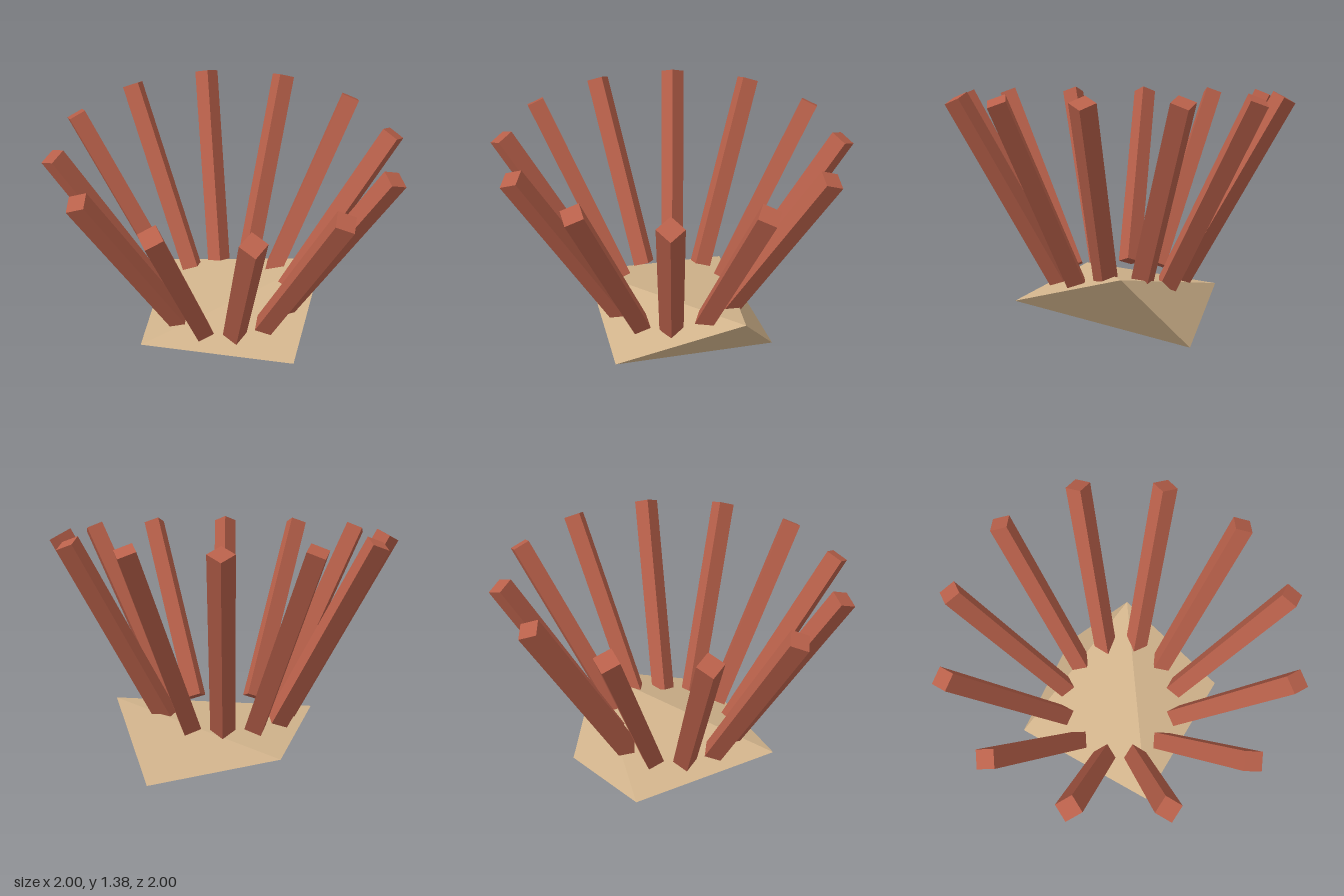
import * as THREE from 'three';

const BEAMS = 12;
const TILT = 0.5;

// Faceted slab: five corners on a circle at uneven heights
function createBase() {
  const r = 0.632;
  const front = [0, 0.185, r];
  const upper = [0.6, 0.41, 0.2];
  const lower = [0.6, 0, -0.2];
  const back = [0, 0.185, -r];
  const tip = [-r, 0.23, 0];
  const faces = [
    [front, upper, tip], [upper, back, tip], [upper, lower, back],
    [upper, front, lower], [back, lower, front], [tip, back, front],
  ];
  const geometry = new THREE.BufferGeometry();
  geometry.setAttribute('position', new THREE.Float32BufferAttribute(faces.flat(2), 3));
  geometry.computeVertexNormals();
  const base = new THREE.Mesh(geometry, new THREE.MeshStandardMaterial({ color: 0xd2b48c, flatShading: true }));
  base.name = 'base';
  return base;
}

// Ring of square beams leaning outwards, one corner edge facing out
function createBeams() {
  const ring = new THREE.Group();
  ring.name = 'beamRing';
  const geometry = new THREE.CylinderGeometry(0.07, 0.07, 1.2, 4);
  const material = new THREE.MeshStandardMaterial({ color: 0xb8604a, flatShading: true });
  for (let i = 0; i < BEAMS; i++) {
    const arm = new THREE.Group();
    arm.name = `beam${i + 1}`;
    const beam = new THREE.Mesh(geometry, material);
    beam.name = 'beam';
    beam.position.set(0.65, 0.818, 0);
    beam.rotation.z = -TILT;
    arm.add(beam);
    arm.rotation.y = (i / BEAMS) * Math.PI * 2;
    ring.add(arm);
  }
  return ring;
}

export function createModel() {
  const model = new THREE.Group();
  model.name = 'beamCrown';
  model.add(createBase(), createBeams());
  return model;
}
